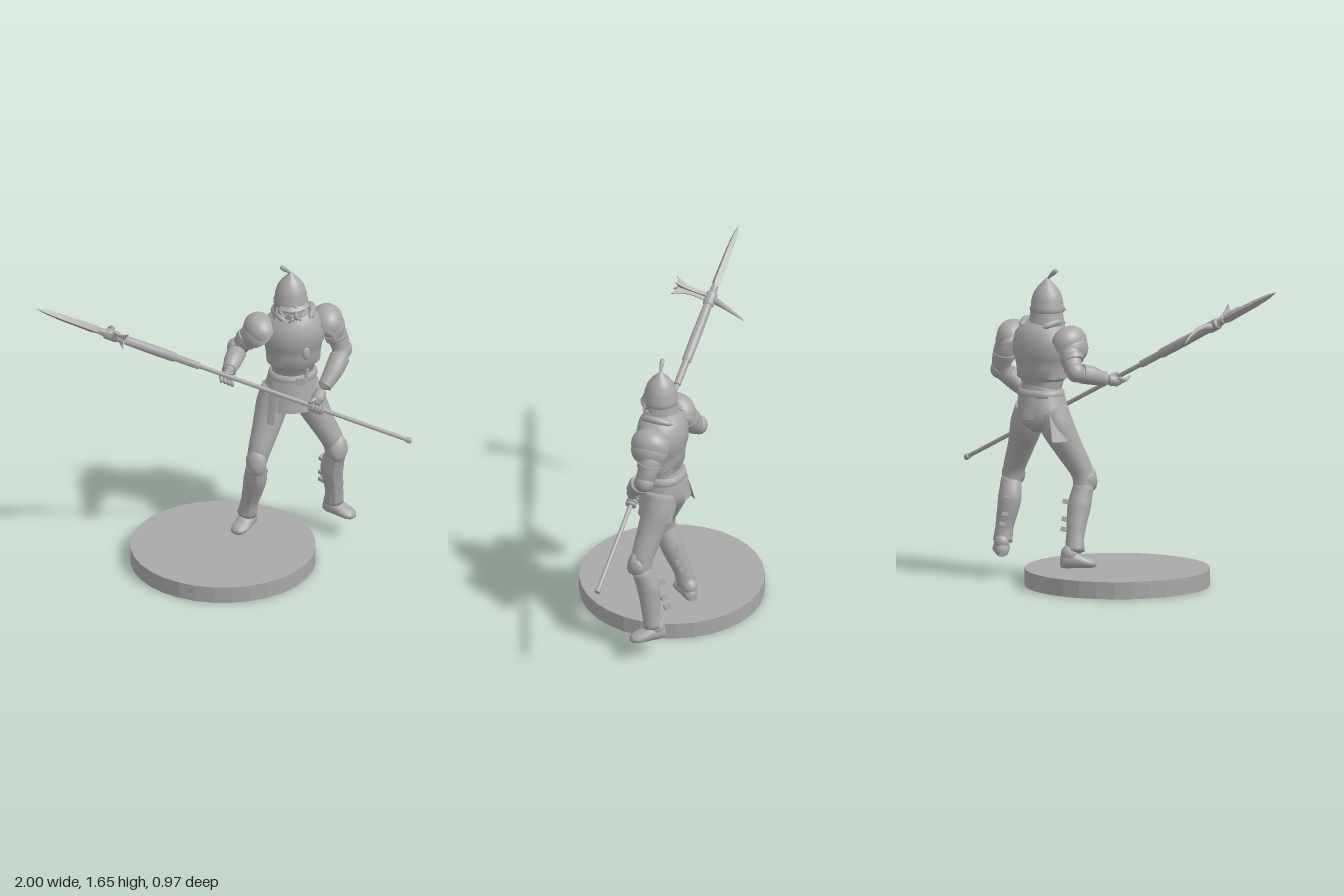
import * as THREE from 'three';
import { mergeVertices, toCreasedNormals } from 'three/addons/utils/BufferGeometryUtils.js';

const V = (x, y, z) => new THREE.Vector3(x, y, z);

export function createModel() {
  const root = new THREE.Group();
  const grey = new THREE.MeshStandardMaterial({ color: 0xa8a8a8, side: THREE.DoubleSide });
  grey.name = 'grey';

  const add = (parent, name, geo, pos = [0, 0, 0], rot = [0, 0, 0], scale = [1, 1, 1]) => {
    const m = new THREE.Mesh(geo, grey);
    m.name = name;
    m.position.set(...pos);
    m.rotation.set(...rot);
    m.scale.set(...scale);
    parent.add(m);
    return m;
  };
  const group = (name, pos = [0, 0, 0], ry = 0) => {
    const g = new THREE.Group();
    g.name = name;
    g.position.set(...pos);
    g.rotation.y = ry;
    root.add(g);
    return g;
  };

  // Round limb through points [x, y, z, radius], closed at both ends
  const limb = (pts, sides = 14, seg = 22) => {
    const curve = new THREE.CatmullRomCurve3(pts.map(p => V(p[0], p[1], p[2])), false, 'centripetal');
    const geo = new THREE.TubeGeometry(curve, seg, 1, sides);
    const { position, normal } = geo.attributes;
    for (let i = 0; i <= seg; i++) {
      const c = curve.getPointAt(i / seg);
      const t = curve.getUtoTmapping(i / seg) * (pts.length - 1);
      const k = Math.min(Math.floor(t), pts.length - 2);
      let r = THREE.MathUtils.lerp(pts[k][3], pts[k + 1][3], t - k);
      if (i === 0 || i === seg) r = 0.0005;
      for (let j = 0; j <= sides; j++) {
        const n = i * (sides + 1) + j;
        position.setXYZ(n, c.x + r * normal.getX(n), c.y + r * normal.getY(n), c.z + r * normal.getZ(n));
      }
    }
    geo.deleteAttribute('uv');
    geo.deleteAttribute('normal');
    const out = mergeVertices(geo, 1e-5);
    out.computeVertexNormals();
    return out;
  };

  // Stacked ellipses [y, cx, cz, rx, rz], closed at both ends
  const loft = (rows, sides = 28, crease = 0.8) => {
    const first = rows[0], last = rows[rows.length - 1];
    const all = [[first[0], first[1], first[2], 0, 0], ...rows, [last[0], last[1], last[2], 0, 0]];
    const pos = [], idx = [];
    all.forEach(([y, cx, cz, rx, rz], i) => {
      for (let j = 0; j < sides; j++) {
        const a = j / sides * Math.PI * 2;
        pos.push(cx + rx * Math.sin(a), y, cz + rz * Math.cos(a));
        if (i === all.length - 1) continue;
        const p = i * sides + j, q = i * sides + (j + 1) % sides;
        idx.push(p, q, q + sides, p, q + sides, p + sides);
      }
    });
    const geo = new THREE.BufferGeometry();
    geo.setAttribute('position', new THREE.Float32BufferAttribute(pos, 3));
    geo.setIndex(idx);
    return toCreasedNormals(geo, crease);
  };
  const ball = new THREE.SphereGeometry(1, 20, 14);
  const shell = (r0, r1, h, mid, span) =>
    new THREE.CylinderGeometry(r0, r1, h, 12, 2, true, mid - span / 2, span);

  // Display base
  const disc = new THREE.CylinderGeometry(0.485, 0.485, 0.09, 32).toNonIndexed();
  disc.computeVertexNormals();
  add(root, 'base', disc, [0, 0.045, 0]);

  // Torso armour, slightly turned
  const torso = group('torso', [0.385, 0, -0.175], 0.17);
  add(torso, 'cuirass', loft([
    [1.0, 0, -0.01, 0.108, 0.09], [1.06, 0, 0, 0.118, 0.1], [1.075, 0, 0, 0.142, 0.114],
    [1.13, 0, 0, 0.146, 0.118], [1.18, 0, 0, 0.155, 0.126], [1.195, 0, 0, 0.164, 0.132],
    [1.26, 0, 0, 0.168, 0.13], [1.31, 0, 0, 0.155, 0.12], [1.345, 0, 0, 0.12, 0.1], [1.375, -0.01, 0.01, 0.07, 0.075]]));
  add(torso, 'gorget', new THREE.TorusGeometry(0.075, 0.013, 8, 28), [-0.012, 1.365, 0.01], [Math.PI / 2, 0, 0]);
  add(torso, 'neck', new THREE.CylinderGeometry(0.055, 0.06, 0.08, 18), [-0.012, 1.38, 0.015]);
  add(torso, 'pendant', ball, [0.035, 1.165, 0.125], [-0.1, 0, 0], [0.022, 0.038, 0.014]);
  add(torso, 'pelvis', loft([
    [0.79, -0.015, -0.02, 0.05, 0.06], [0.83, -0.015, -0.025, 0.11, 0.1], [0.9, -0.01, -0.025, 0.132, 0.113],
    [0.97, 0, -0.015, 0.12, 0.102], [1.04, 0, -0.01, 0.105, 0.09]]));
  add(torso, 'belt', loft([[0.975, 0, -0.012, 0.126, 0.108], [0.985, 0, -0.012, 0.131, 0.113],
    [1.005, 0, -0.012, 0.128, 0.11], [1.015, 0, -0.012, 0.118, 0.1]]));
  add(torso, 'buckle', new THREE.BoxGeometry(0.045, 0.04, 0.02), [0.01, 0.99, 0.1]);
  add(torso, 'beltTab', new THREE.BoxGeometry(0.018, 0.09, 0.012), [0.045, 1.01, 0.095], [0, 0.2, -0.15]);
  // Hanging skirt plates: [name, angle, spread, bottom radius, height]
  for (const [name, mid, span, r, h] of [['frontSkirt', 0, 1.5, 0.155, 0.17], ['rightTasset', -1.5, 1.5, 0.195, 0.23],
    ['leftTasset', 1.5, 1.5, 0.165, 0.21], ['backFlap', Math.PI, 0.6, 0.15, 0.12]])
    add(torso, name, shell(0.124, r, h, mid, span), [-0.005, 0.985 - h / 2, -0.014], [0, 0, 0], [1, 1, 0.9]);
  // Layered shoulder plates
  for (const [side, s] of [['left', 1], ['right', -1]]) {
    const cap = new THREE.SphereGeometry(1, 24, 10, 0, Math.PI * 2, 0, Math.PI * 0.52);
    add(torso, side + 'Pauldron', cap, [s * 0.178, 1.265, -0.005], [0, 0, -s * 0.45], [0.085, 0.098, 0.105]);
    add(torso, side + 'PauldronRim', cap, [s * 0.19, 1.235, -0.005], [0, 0, -s * 0.5], [0.083, 0.095, 0.1]);
    add(torso, side + 'ShoulderStrap', limb([[s * 0.07, 1.35, 0.09, 0.016], [s * 0.1, 1.37, 0, 0.02],
      [s * 0.07, 1.35, -0.09, 0.016]], 8, 10));
  }

  // Helmet with face mask and plume
  const head = group('head', [0.37, 0, -0.155], 0.2);
  add(head, 'helmet', new THREE.LatheGeometry([[0.08, 1.415], [0.09, 1.418], [0.091, 1.44], [0.086, 1.445], [0.083, 1.48],
    [0.07, 1.52], [0.05, 1.55], [0.027, 1.572], [0.012, 1.59], [0, 1.6]].map(p => new THREE.Vector2(...p)), 28));
  add(head, 'neckGuard', shell(0.086, 0.1, 0.085, Math.PI, 3.7), [0, 1.382, 0]);
  add(head, 'face', ball, [0, 1.395, 0.005], [0, 0, 0], [0.06, 0.07, 0.062]);
  add(head, 'visorBrow', shell(0.091, 0.105, 0.018, 0, 1.9), [0, 1.426, 0]);
  add(head, 'noseGuard', limb([[0, 1.45, 0.085, 0.012], [0, 1.405, 0.088, 0.01], [0, 1.375, 0.096, 0.013],
    [0, 1.365, 0.078, 0.008]], 8, 12));
  for (const s of [1, -1]) {
    const cheek = new THREE.Shape([[0.006, 1.375], [0.03, 1.385], [0.055, 1.39], [0.06, 1.42], [0.1, 1.42],
      [0.1, 1.37], [0.06, 1.345], [0.025, 1.325], [0.004, 1.32]].map(p => new THREE.Vector2(...p)));
    const geo = new THREE.ExtrudeGeometry(cheek, { depth: 0.007, bevelEnabled: false });
    const p = geo.attributes.position;
    for (let i = 0; i < p.count; i++) {
      const a = s * p.getX(i) / 0.078, r = 0.076 + p.getZ(i);
      p.setXYZ(i, r * Math.sin(a), p.getY(i), r * Math.cos(a));
    }
    geo.computeVertexNormals();
    add(head, 'cheekPlate', geo);
    add(head, 'moustache', limb([[0, 1.365, 0.084, 0.007], [s * 0.02, 1.36, 0.084, 0.008], [s * 0.035, 1.335, 0.074, 0.003]], 8, 10));
  }
  add(head, 'plume', limb([[0, 1.575, 0, 0.009], [-0.012, 1.6, 0.002, 0.007], [-0.035, 1.622, 0.006, 0.013],
    [-0.058, 1.642, 0.008, 0.012]], 10, 14));

  // Arms: [name, limb points, vambrace points, elbow]
  const arms = [
    ['right', [[0.22, 1.3, -0.15, 0.05], [0.16, 1.22, -0.185, 0.057], [0.1, 1.135, -0.205, 0.046],
      [0.06, 1.105, -0.11, 0.042], [0.03, 1.085, -0.03, 0.026]],
    [[0.09, 1.125, -0.18, 0.052], [0.065, 1.11, -0.12, 0.049], [0.04, 1.09, -0.06, 0.036], [0.034, 1.087, -0.045, 0.042]]],
    ['left', [[0.56, 1.3, -0.21, 0.05], [0.605, 1.2, -0.235, 0.06], [0.64, 1.09, -0.22, 0.048],
      [0.585, 1.0, -0.14, 0.044], [0.525, 0.93, -0.085, 0.027]],
    [[0.635, 1.07, -0.2, 0.054], [0.595, 1.01, -0.15, 0.05], [0.545, 0.95, -0.1, 0.036], [0.535, 0.94, -0.092, 0.043]]]];
  for (const [side, arm, guard] of arms) {
    add(root, side + 'Arm', limb(arm));
    add(root, side + 'Vambrace', limb(guard));
    const [x, y, z] = arm[2];
    add(root, side + 'ElbowCop', ball, [x + (side === 'left' ? 0.012 : -0.012), y, z - 0.01], [0, 0, 0], [0.047, 0.052, 0.05]);
    const [ax, ay, az] = arm[1], d = V(...arm[2].slice(0, 3)).sub(V(ax, ay, az)).normalize().multiplyScalar(0.03);
    add(root, side + 'ArmBand', limb([[ax + d.x * 0.4, ay + d.y * 0.4, az + d.z * 0.4, 0.064],
      [ax + d.x * 1.8, ay + d.y * 1.8, az + d.z * 1.8, 0.058]], 14, 8));
  }

  // Polearm, built upright from the butt then tilted
  const butt = V(1, 0.57, -0.15), dir = V(-2, 1.07, 0.35).normalize();
  const pole = group('polearm', butt.toArray());
  pole.quaternion.setFromUnitVectors(V(0, 1, 0), dir);
  const lathe = (pts, n) => toCreasedNormals(new THREE.LatheGeometry(pts.map(p => new THREE.Vector2(...p)), n), 0.6);
  add(pole, 'shaft', lathe([[0, 0], [0.015, 0.003], [0.016, 0.025], [0.011, 0.03], [0.012, 1.295], [0.019, 1.3], [0.019, 1.44],
    [0.025, 1.45], [0.026, 1.6], [0.023, 1.79], [0.03, 1.8], [0.03, 1.865], [0.02, 1.875], [0.018, 1.91], [0, 1.92]], 14));
  add(pole, 'spearBlade', lathe([[0.01, 1.88], [0.025, 1.94], [0.02, 2.15], [0.013, 2.24], [0, 2.295]], 4));
  // Flared fishtail hammer and curved rear spike
  const axe = group('fishtailHead', [-0.6, 1.428, 0.13]);
  const out = V(0.07, 0.045, 0.18);
  out.addScaledVector(dir, -out.dot(dir)).normalize();
  axe.quaternion.setFromRotationMatrix(new THREE.Matrix4().makeBasis(out, dir, out.clone().cross(dir)));
  const tail = new THREE.Shape([[0, -0.026], [0.09, -0.02], [0.14, -0.026], [0.2, -0.052], [0.175, 0],
    [0.2, 0.052], [0.14, 0.026], [0.09, 0.02], [0, 0.026]].map(p => new THREE.Vector2(...p)));
  const plate = new THREE.ExtrudeGeometry(tail, { depth: 0.008, bevelEnabled: false }).translate(0, 0, -0.004);
  add(axe, 'fishtailPlate', plate);
  add(axe, 'fishtailCrossPlate', plate, [0, 0, 0], [Math.PI / 2, 0, 0], [1, 0.75, 1]);
  add(root, 'rearSpike', limb([[-0.605, 1.425, 0.13, 0.022], [-0.585, 1.418, 0.05, 0.014], [-0.588, 1.39, -0.02, 0.009],
    [-0.603, 1.35, -0.082, 0.001]], 8));

  // Hands gripping the shaft
  add(root, 'rightPalm', limb([[0.033, 1.085, -0.045, 0.024], [0.025, 1.078, -0.01, 0.032], [0.02, 1.07, 0.025, 0.022]], 12, 12));
  add(root, 'leftPalm', limb([[0.53, 0.935, -0.09, 0.025], [0.505, 0.895, -0.07, 0.036], [0.485, 0.86, -0.055, 0.026]], 12, 12));
  for (let i = 0; i < 4; i++) {
    const x = -0.012 + i * 0.019, y = 1.095 - i * 0.01;
    add(root, 'rightFinger', limb([[x, y, 0, 0.011], [x, y - 0.018, 0.04, 0.01], [x - 0.004, y + 0.002, 0.078 - i * 0.006, 0.006]], 8, 10));
    add(pole, 'leftFinger', new THREE.TorusGeometry(0.021, 0.01, 8, 14), [0, 0.55 + i * 0.02, 0], [Math.PI / 2, 0, 0]);
  }
  add(root, 'rightThumb', limb([[0.035, 1.09, -0.02, 0.012], [0.045, 1.105, 0.015, 0.01], [0.03, 1.115, 0.04, 0.006]], 8, 10));
  add(root, 'leftThumb', limb([[0.495, 0.9, -0.05, 0.013], [0.465, 0.89, -0.035, 0.011], [0.45, 0.875, -0.04, 0.007]], 8, 10));

  // Legs: thigh, greave, knee pad, strap ends and shoe
  const legs = [
    { side: 'right', thigh: [[0.31, 0.93, -0.19, 0.085], [0.275, 0.82, -0.17, 0.088], [0.235, 0.7, -0.12, 0.073],
      [0.19, 0.57, -0.07, 0.057], [0.175, 0.47, -0.08, 0.05]],
    greave: [[0.18, 0.53, -0.065, 0.052], [0.178, 0.41, -0.105, 0.062], [0.155, 0.26, -0.155, 0.047], [0.14, 0.16, -0.175, 0.052]],
    knee: [0.18, 0.55, -0.03], strap: [0.225, -0.155], heel: [0.165, 0.09, -0.215], yaw: -0.6 },
    { side: 'left', thigh: [[0.43, 0.93, -0.2, 0.088], [0.47, 0.82, -0.205, 0.088], [0.53, 0.7, -0.19, 0.07],
      [0.595, 0.57, -0.18, 0.057], [0.61, 0.47, -0.19, 0.05]],
    greave: [[0.615, 0.53, -0.18, 0.052], [0.592, 0.41, -0.215, 0.062], [0.605, 0.26, -0.24, 0.047], [0.605, 0.17, -0.255, 0.052]],
    knee: [0.615, 0.55, -0.145], strap: [0.55, -0.27], heel: [0.582, 0.108, -0.28], yaw: 0.85 }];
  for (const { side, thigh, greave, knee, strap, heel, yaw } of legs) {
    const inner = side === 'right' ? 1 : -1;
    add(root, side + 'Thigh', limb(thigh, 16));
    add(root, side + 'Greave', limb(greave, 16));
    add(root, side + 'ShinRidge', limb(greave.map(([x, y, z, r]) => [x, y, z + r * 0.8, 0.016]), 8));
    add(root, side + 'KneePad', ball, knee, [-0.25, -inner * 0.2, 0], [0.05, 0.075, 0.034]);
    add(root, side + 'KneeWing', ball, [knee[0] - inner * 0.03, knee[1] - 0.01, knee[2] - 0.025], [-0.2, 0, 0], [0.025, 0.05, 0.045]);
    [0.43, 0.34, 0.29].forEach((y, i) => add(root, side + 'Strap', new THREE.BoxGeometry(0.035, 0.022, 0.035),
      [strap[0] - (inner > 0 ? 0.012 * i : 0), y, strap[1] - 0.018 * i], [0.3, inner * 0.7, 0]));
    const foot = group(side + 'Foot', heel, yaw);
    add(foot, side + 'Shoe', loft([
      [-0.025, 0, -0.035, 0.025, 0.03], [0, 0, -0.045, 0.04, 0.045], [0.05, 0, -0.045, 0.044, 0.045],
      [0.09, 0, -0.034, 0.046, 0.034], [0.125, 0, -0.027, 0.046, 0.027], [0.15, 0, -0.023, 0.034, 0.021],
      [0.162, 0, -0.022, 0.015, 0.012]], 18, 1.2), [0, 0, 0], [Math.PI / 2, 0, 0]);
    add(foot, side + 'Ankle', ball, [0, 0.075, 0.02], [0, 0, 0], [0.042, 0.05, 0.046]);
  }
  return root;
}
